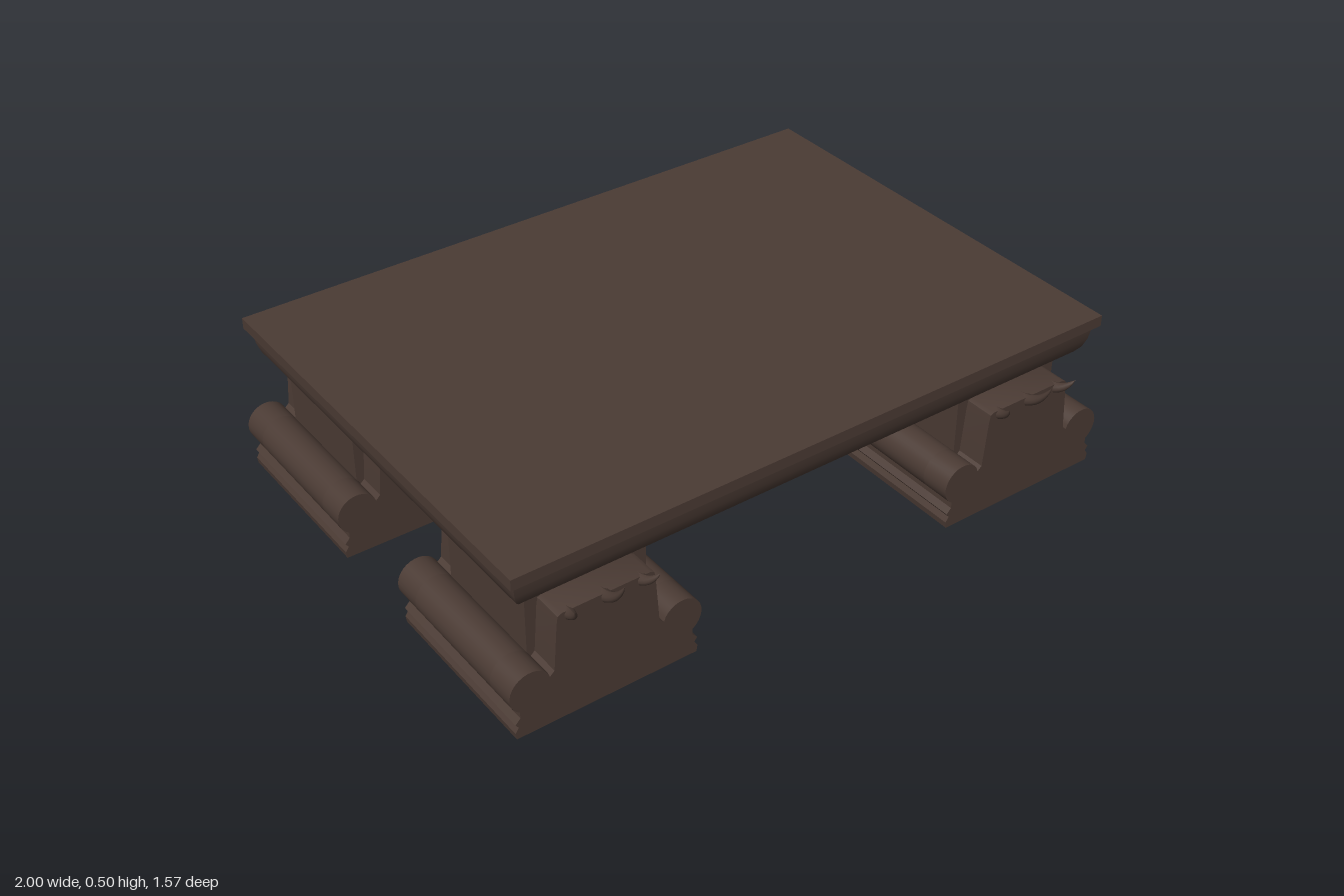
import * as THREE from 'three';
import { toCreasedNormals } from 'three/addons/utils/BufferGeometryUtils.js';

const wood = new THREE.MeshStandardMaterial({ color: 0x4b3b34 });
wood.name = 'darkWood';

const LEG_X = 0.71, Z_IN = 0.163, Z_OUT = 0.705, PLATE = 0.09;

function part(name, geometry, parent) {
  const mesh = new THREE.Mesh(geometry, wood);
  mesh.name = name;
  parent.add(mesh);
  return mesh;
}

// Extrude an x-y shape from z0 to z1, keeping sharp edges sharp
function slab(shape, z0, z1) {
  const g = new THREE.ExtrudeGeometry(shape, { depth: z1 - z0, bevelEnabled: false, curveSegments: 10 });
  g.translate(0, 0, z0);
  return toCreasedNormals(g, 0.6);
}

// Right half of the foot outline, from the floor up over the scroll
function footHalf() {
  const pts = [[0.275, 0], [0.278, 0.02], [0.268, 0.036], [0.277, 0.048], [0.262, 0.064]];
  for (let i = 0; i <= 16; i++) {
    const a = -1.0 + (i / 16) * 3.6;
    pts.push([0.229 + 0.061 * Math.cos(a), 0.134 + 0.061 * Math.sin(a)]);
  }
  return pts;
}

function mirroredShape(half, inner = []) {
  const pts = [...half, ...half.map(([x, y]) => [-x, y]).reverse(), ...inner];
  return new THREE.Shape(pts.map(([x, y]) => new THREE.Vector2(x, y)));
}

// End plate: scrolled foot with a tapering panel above
const plateShape = mirroredShape([...footHalf(), [0.172, 0.152], [0.158, 0.165], [0.147, 0.305], [0.143, 0.33], [0.13, 0.336]]);

// Middle of the leg: same foot, hollow below, with a straight body
const middleShape = mirroredShape([...footHalf(), [0.181, 0.16], [0.181, 0.347]],
  [[-0.2, 0], [-0.2, 0.05], [-0.14, 0.05], [-0.14, 0.17], [0.14, 0.17], [0.14, 0.05], [0.2, 0.05], [0.2, 0]]);

// Curved claw: a cone bent along a path, rooted at z = 0 and pointing to +z
function clawGeometry(reach, rise, lean) {
  const path = new THREE.QuadraticBezierCurve3(
    new THREE.Vector3(0, 0, -0.03),
    new THREE.Vector3(0, rise * 0.12, reach * 0.5),
    new THREE.Vector3(lean, rise, reach));
  const g = new THREE.CylinderGeometry(1, 1, 1, 10, 8);
  const p = g.attributes.position;
  for (let i = 0; i < p.count; i++) {
    const t = p.getY(i) + 0.5;
    const c = path.getPoint(t), d = path.getTangent(t);
    const r = 0.02 * Math.pow(1 - t, 0.7);
    const up = new THREE.Vector3(0, d.z, -d.y).normalize();
    p.setXYZ(i, c.x - p.getX(i) * r, c.y + up.y * p.getZ(i) * r, c.z + up.z * p.getZ(i) * r);
  }
  g.computeVertexNormals();
  return g;
}

function buildLeg() {
  const leg = new THREE.Group();
  part('legBody', slab(middleShape, Z_IN + PLATE, Z_OUT - PLATE), leg);
  part('outerPlate', slab(plateShape, Z_OUT - PLATE, Z_OUT), leg);
  part('innerPlate', slab(plateShape, Z_IN, Z_IN + PLATE), leg);
  // Three claws on each end of the leg
  for (const inner of [false, true]) {
    const claws = new THREE.Group();
    claws.name = inner ? 'innerClaws' : 'outerClaws';
    for (const s of [-1, 0, 1]) {
      const g = s === 0 ? clawGeometry(0.08, 0.092, 0) : clawGeometry(0.05, 0.052, s * 0.02);
      part('claw', g, claws).position.set(s * 0.106, 0.316, 0);
    }
    claws.position.z = inner ? Z_IN : Z_OUT;
    if (inner) claws.rotation.y = Math.PI;
    leg.add(claws);
  }
  return leg;
}

// Table top: rectangle rings stacked along an edge moulding
function topGeometry() {
  const profile = [[0, 0.5], [0, 0.466], [0.016, 0.463], [0.017, 0.452], [0.022, 0.42],
    [0.031, 0.393], [0.045, 0.374], [0.064, 0.358], [0.085, 0.346]];
  const corners = [[1, 1], [1, -1], [-1, -1], [-1, 1]];
  const pos = [], idx = [];
  for (const [inset, y] of profile)
    for (const [sx, sz] of corners) pos.push(sx * (0.975 - inset), y, sz * (0.7 - inset));
  for (let r = 0; r < profile.length - 1; r++)
    for (let k = 0; k < 4; k++) {
      const a = r * 4 + k, b = r * 4 + (k + 1) % 4;
      idx.push(a, a + 4, b, b, a + 4, b + 4);
    }
  const e = (profile.length - 1) * 4;
  idx.push(0, 1, 2, 0, 2, 3, e, e + 2, e + 1, e, e + 3, e + 2);
  const g = new THREE.BufferGeometry();
  g.setAttribute('position', new THREE.Float32BufferAttribute(pos, 3));
  g.setIndex(idx);
  return toCreasedNormals(g, 0.6);
}

export function createModel() {
  const table = new THREE.Group();
  table.name = 'lowTable';
  part('tableTop', topGeometry(), table);
  for (const front of [true, false])
    for (const side of [1, -1]) {
      const leg = buildLeg();
      leg.name = (front ? 'front' : 'back') + (side > 0 ? 'Left' : 'Right') + 'Leg';
      leg.position.x = side * LEG_X;
      if (!front) leg.rotation.y = Math.PI;
      table.add(leg);
    }
  return table;
}
